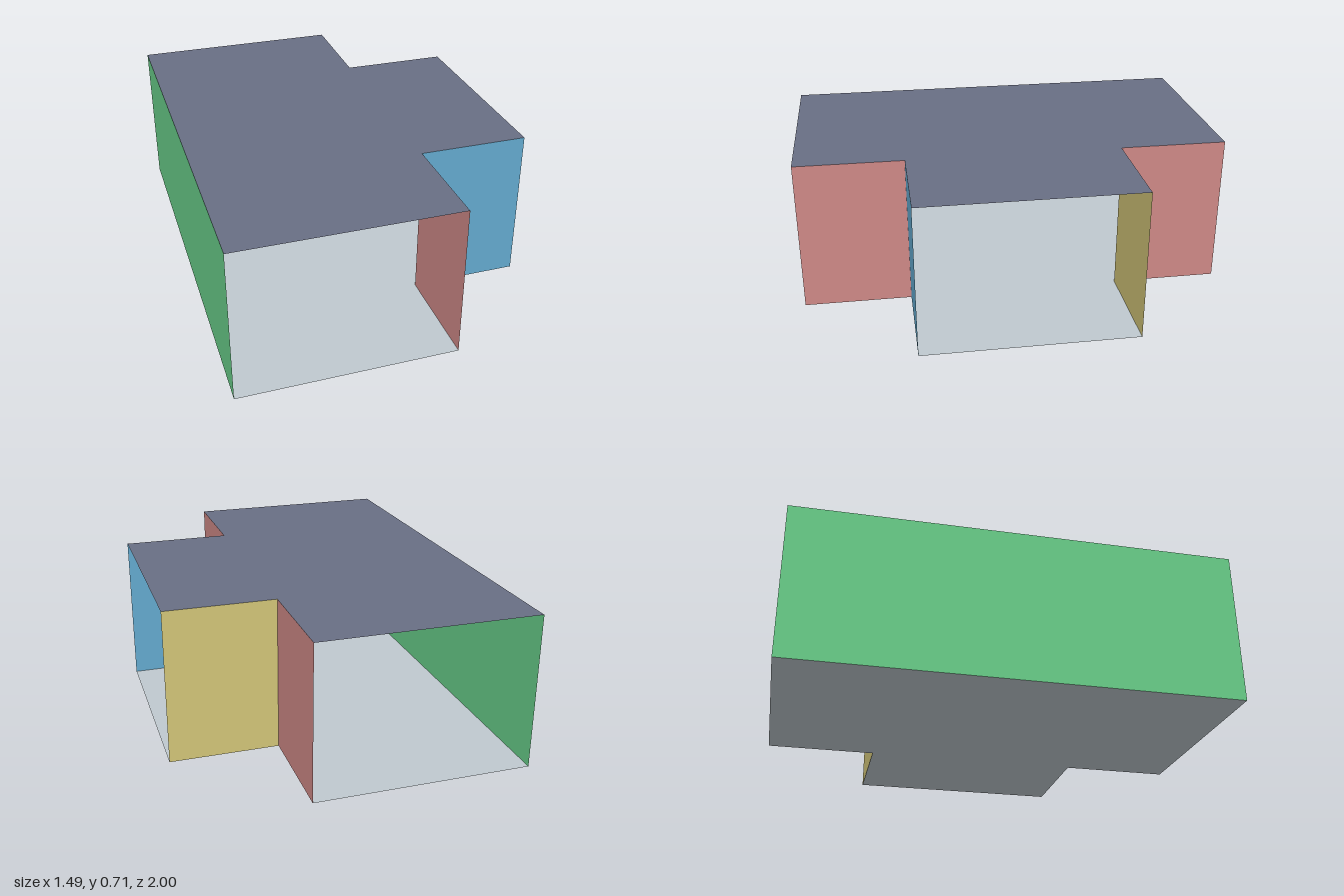
import * as THREE from 'three';

const H = 0.71; // wall height
const X0 = -0.745, X1 = 0.245, X2 = 0.745; // back wall, step, wing end
const Z1 = 0.5, Z2 = 1; // half depth of wing and of main hall

const paint = (name, color) => {
  const m = new THREE.MeshStandardMaterial({ color, side: THREE.DoubleSide });
  m.name = name;
  return m;
};

export function createModel() {
  const group = new THREE.Group();
  const green = paint('green', 0x69cf8a);
  const red = paint('red', 0xcf8987);
  const blue = paint('blue', 0x64abd0);
  const yellow = paint('yellow', 0xd3c679);
  const slate = paint('slate', 0x696f84);
  const paleGrey = paint('paleGrey', 0xbfc9cf);

  const add = (name, geometry, material) => {
    const mesh = new THREE.Mesh(geometry, material);
    mesh.name = name;
    group.add(mesh);
    return mesh;
  };

  // T-shaped floor and roof sheets (shape y becomes -z)
  const plan = new THREE.Shape([
    [X0, -Z2], [X1, -Z2], [X1, -Z1], [X2, -Z1],
    [X2, Z1], [X1, Z1], [X1, Z2], [X0, Z2],
  ].map(([x, y]) => new THREE.Vector2(x, y)));
  const sheet = () => new THREE.ShapeGeometry(plan).rotateX(-Math.PI / 2);
  add('floor', sheet(), paleGrey);
  add('roof', sheet().translate(0, H, 0), slate);

  // Upright wall sheets facing +x; the hall ends and wing end stay open
  const wallX = (name, x, z, width, material) =>
    add(name, new THREE.PlaneGeometry(width, H).rotateY(Math.PI / 2), material)
      .position.set(x, H / 2, z);
  wallX('longWall', X0, 0, 2 * Z2, green);
  wallX('frontStepWall', X1, (Z1 + Z2) / 2, Z2 - Z1, red);
  wallX('backStepWall', X1, -(Z1 + Z2) / 2, Z2 - Z1, red);

  // Wing side walls
  const wallZ = (name, z, material) =>
    add(name, new THREE.PlaneGeometry(X2 - X1, H), material)
      .position.set((X1 + X2) / 2, H / 2, z);
  wallZ('frontWingWall', Z1, blue);
  wallZ('backWingWall', -Z1, yellow);

  return group;
}
